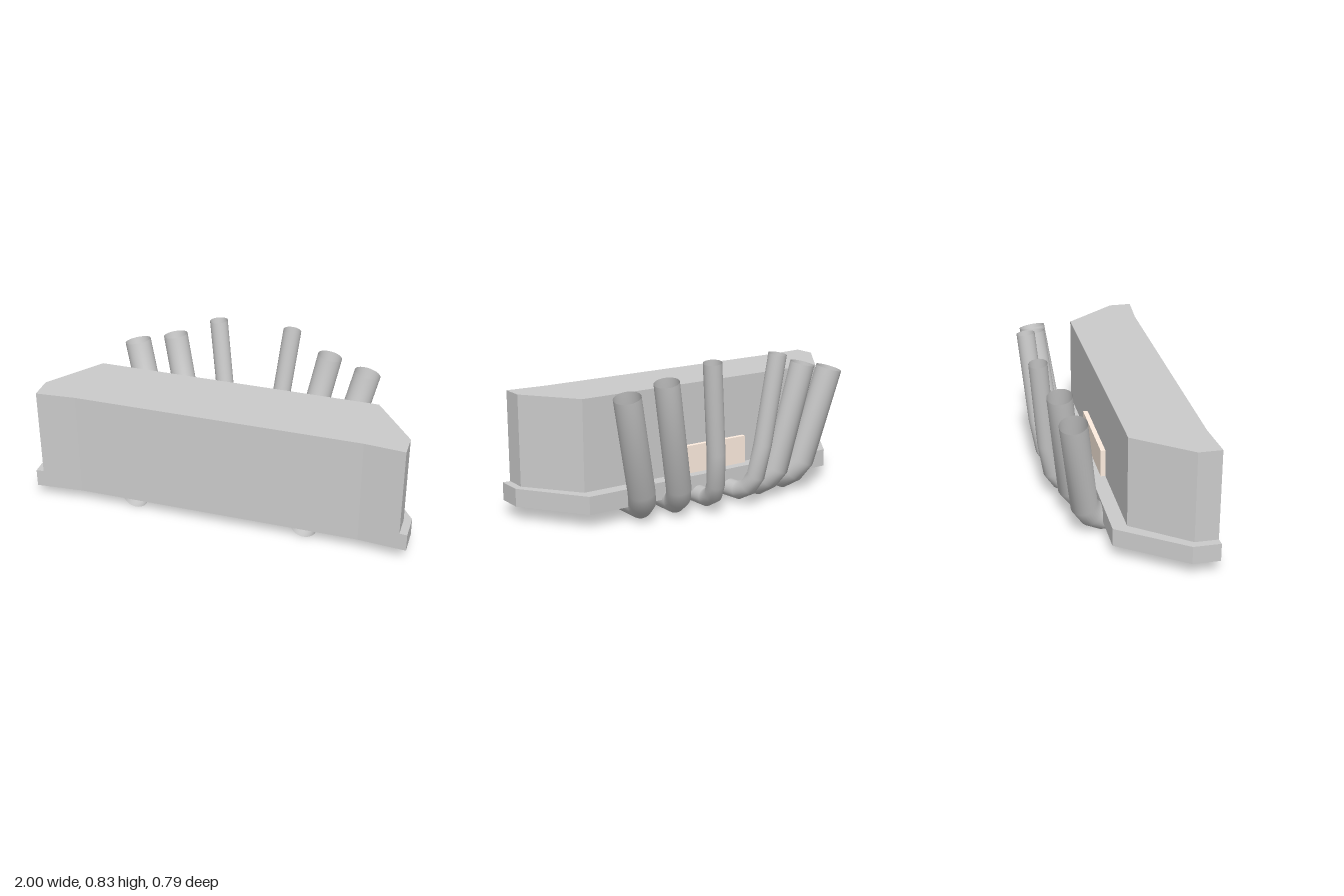
import * as THREE from 'three';

// Polyline path: one tube ring per point, mitred at the bends.
class BentPath extends THREE.Curve {
  constructor(points) {
    super();
    this.points = points;
  }
  index(u) {
    return Math.round(u * (this.points.length - 1));
  }
  getPointAt(u, target = new THREE.Vector3()) {
    return target.copy(this.points[this.index(u)]);
  }
  getTangentAt(u, target = new THREE.Vector3()) {
    const p = this.points, i = this.index(u);
    target.set(0, 0, 0);
    if (i > 0) target.add(p[i].clone().sub(p[i - 1]).normalize());
    if (i < p.length - 1) target.add(p[i + 1].clone().sub(p[i]).normalize());
    return target.normalize();
  }
}

// Upright slab from half of a plan outline [x, z], mirrored in x.
function slab(name, half, y0, y1, material) {
  const outline = [...half, ...half.map(([x, z]) => [-x, z]).reverse()];
  const shape = new THREE.Shape(outline.map(([x, z]) => new THREE.Vector2(x, -z)));
  const geometry = new THREE.ExtrudeGeometry(shape, { depth: y1 - y0, bevelEnabled: false });
  geometry.rotateX(-Math.PI / 2).translate(0, y0, 0);
  const mesh = new THREE.Mesh(geometry, material);
  mesh.name = name;
  return mesh;
}

export function createModel() {
  const model = new THREE.Group();
  model.name = 'casingWithPipes';
  const grey = new THREE.MeshStandardMaterial({ color: 0xcccccc });
  const pipeGrey = new THREE.MeshStandardMaterial({ color: 0xcccccc, side: THREE.DoubleSide });
  const pale = new THREE.MeshStandardMaterial({ color: 0xffeee0 });

  // Casing: wide base ledge and taller upper body, with a slightly hollow front
  model.add(slab('baseLedge', [[0.75, 0.373], [1, 0.393], [1, 0.252], [0.765, -0.085]], 0.075, 0.17, grey));
  model.add(slab('upperBody', [[0.75, 0.373], [0.96, 0.39], [0.96, 0.27], [0.75, -0.01]], 0.17, 0.65, grey));

  // Plate on the back, resting on the ledge
  const plate = new THREE.Mesh(new THREE.BoxGeometry(0.48, 0.15, 0.03), pale);
  plate.name = 'backPlate';
  plate.position.set(0, 0.245, -0.02);
  model.add(plate);

  // Open pipes running under the casing and rising behind it
  const pipes = [
    { name: 'outerPipe', radius: 0.07, path: [
      [0.46, 0.073, 0.335], [0.465, 0.072, -0.08], [0.49, 0.11, -0.137], [0.52, 0.178, -0.178], [0.64, 0.685, -0.25]] },
    { name: 'middlePipe', radius: 0.065, path: [
      [0.265, 0.07, 0.27], [0.272, 0.069, -0.11], [0.292, 0.108, -0.17], [0.318, 0.172, -0.212], [0.43, 0.738, -0.278]] },
    { name: 'innerPipe', radius: 0.048, path: [
      [0.095, 0.06, 0.15], [0.105, 0.068, -0.16], [0.115, 0.105, -0.232], [0.13, 0.172, -0.273],
      [0.15, 0.345, -0.303], [0.205, 0.823, -0.347]] },
  ];
  for (const { name, radius, path } of pipes) {
    for (const [side, sign] of [['left', 1], ['right', -1]]) {
      const points = path.map(([x, y, z]) => new THREE.Vector3(sign * x, y, z));
      const geometry = new THREE.TubeGeometry(new BentPath(points), points.length - 1, radius, 32);
      const pipe = new THREE.Mesh(geometry, pipeGrey);
      pipe.name = side + name[0].toUpperCase() + name.slice(1);
      model.add(pipe);
    }
  }
  return model;
}
